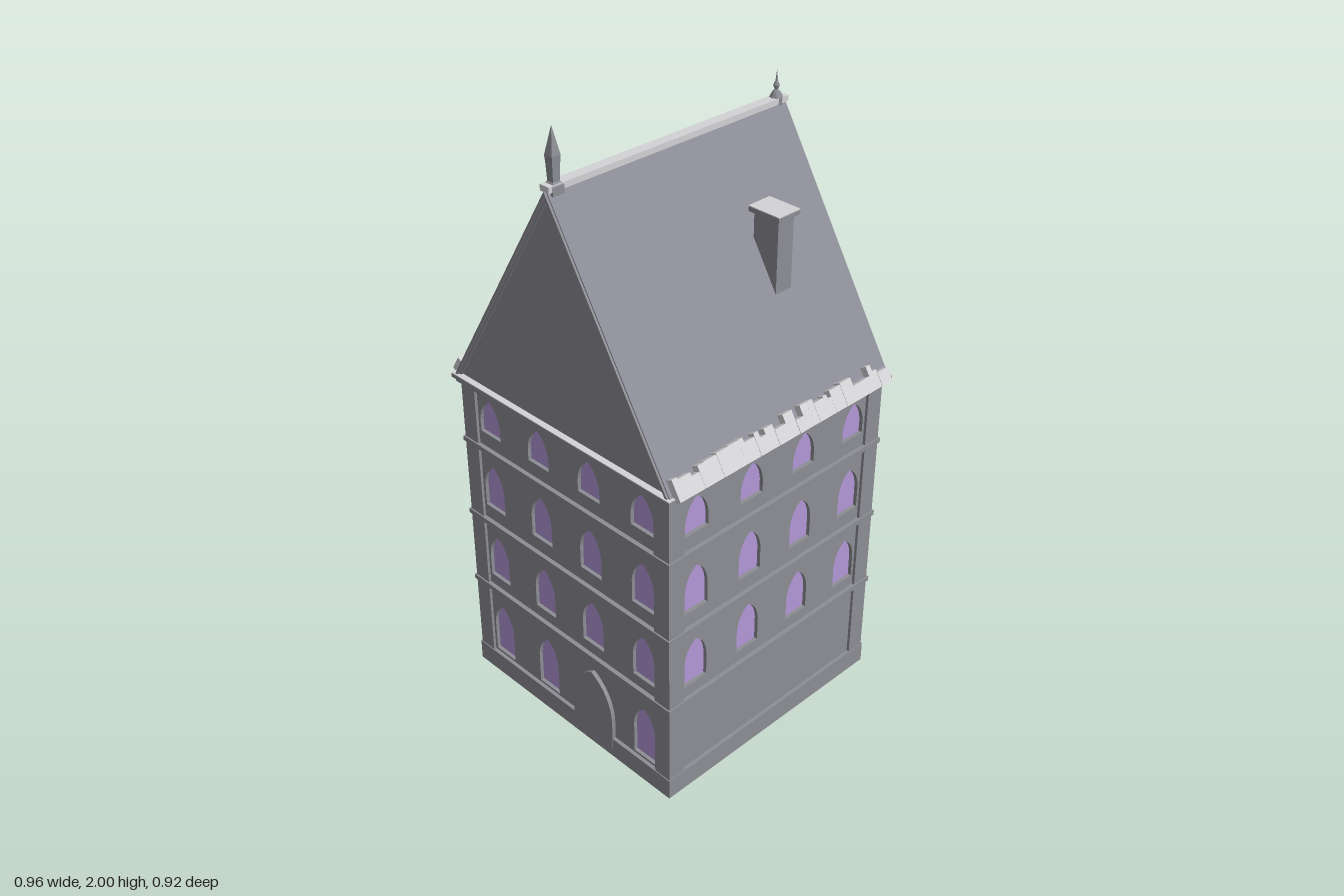
import * as THREE from 'three';

const mat = (name, color) => Object.assign(new THREE.MeshStandardMaterial({ color }), { name });

export function createModel() {
  const stone = mat('stone', 0x8d8e94);
  const slate = mat('slate', 0x8c8c98);
  const pale = mat('pale', 0xd3d3d6);
  const glass = mat('glass', 0xb297d8);
  const house = new THREE.Group();
  house.name = 'house';

  const add = (name, geometry, material, parent = house) => {
    const mesh = new THREE.Mesh(geometry, material);
    mesh.name = name;
    parent.add(mesh);
    return mesh;
  };
  const box = (name, w, h, d, x, y, z, material, parent) => {
    const mesh = add(name, new THREE.BoxGeometry(w, h, d), material, parent);
    mesh.position.set(x, y, z);
    return mesh;
  };

  // Pointed arch outline, used for windows, their openings and the door
  const arch = (cx, bottom, top, w, rise, Type = THREE.Shape) => {
    const s = new Type();
    const h = w / 2, spring = top - rise;
    s.moveTo(cx - h, bottom);
    s.lineTo(cx + h, bottom);
    s.lineTo(cx + h, spring);
    s.quadraticCurveTo(cx + h * 0.9, top - rise * 0.3, cx, top);
    s.quadraticCurveTo(cx - h * 0.9, top - rise * 0.3, cx - h, spring);
    s.closePath();
    return s;
  };

  // Plinth, corner piers, floor bands and cornice
  box('plinth', 0.884, 0.07, 0.884, 0, 0.035, 0, stone);
  for (const x of [-1, 1]) for (const z of [-1, 1])
    box('cornerPier', 0.06, 1.01, 0.06, x * 0.409, 0.575, z * 0.409, stone);
  box('corniceLower', 0.9, 0.015, 0.9, 0, 1.08, 0, stone);
  box('corniceUpper', 0.916, 0.012, 0.916, 0, 1.092, 0, stone);
  box('corniceTop', 0.916, 0.003, 0.916, 0, 1.0995, 0, pale);

  // Four walls with recessed windows; only the front has a ground-floor row
  const columns = [-0.325, -0.108, 0.108, 0.325];
  const rows = [[0.385, 0.545], [0.655, 0.81], [0.925, 1.045]];
  ['front', 'left', 'back', 'right'].forEach((side, i) => {
    const wall = new THREE.Group();
    wall.name = side + 'Wall';
    wall.rotation.y = i * Math.PI / 2;
    house.add(wall);

    const openings = rows.flatMap(([b, t]) => columns.map(x => [x, b, t]));
    if (i === 0) for (const x of [-0.325, -0.108, 0.325]) openings.push([x, 0.078, 0.27]);

    const panel = new THREE.Shape();
    panel.moveTo(-0.4, 0.05);
    panel.lineTo(0.4, 0.05);
    panel.lineTo(0.4, 1.08);
    panel.lineTo(-0.4, 1.08);
    panel.closePath();
    panel.holes = openings.map(([x, b, t]) => arch(x, b, t, 0.09, 0.08, THREE.Path));
    const geo = new THREE.ExtrudeGeometry(panel, { depth: 0.015, bevelEnabled: false, curveSegments: 6 });
    add('wallPanel', geo.translate(0, 0, 0.415), stone, wall);

    for (const [x, b, t] of openings) {
      const pane = new THREE.ShapeGeometry(arch(x, b, t, 0.09, 0.08), 6);
      add('window', pane.translate(0, 0, 0.418), glass, wall);
    }
    for (const y of [0.34, 0.6, 0.87])
      box('floorBand', 0.888, 0.016, 0.03, 0, y, 0.429, stone, wall);
  });

  // Front door
  const door = new THREE.ExtrudeGeometry(arch(0.108, 0.002, 0.285, 0.175, 0.14),
    { depth: 0.015, bevelEnabled: false, curveSegments: 8 });
  add('door', door.translate(0, 0, 0.428), stone);

  // Gable walls under the roof
  const gable = new THREE.Shape([[-0.43, 1.1], [0.43, 1.1], [0, 1.805]].map(p => new THREE.Vector2(...p)));
  add('gables', new THREE.ExtrudeGeometry(gable, { depth: 0.876, bevelEnabled: false })
    .translate(0, 0, -0.438), stone);

  // Roof slopes, with a slimmer raised moulding along each gable edge
  const chevron = (out, inn, depth) => {
    const pts = [[-out, 1.1], [0, 1.1 + out * 1.635], [out, 1.1],
      [inn, 1.1], [0, 1.1 + inn * 1.635], [-inn, 1.1]];
    const s = new THREE.Shape(pts.map(p => new THREE.Vector2(...p)));
    return new THREE.ExtrudeGeometry(s, { depth, bevelEnabled: false }).translate(0, 0, -depth / 2);
  };
  add('roof', chevron(0.45, 0.428, 0.892), slate);
  add('gableMoulding', chevron(0.446, 0.437, 0.906), stone);
  box('ridge', 0.034, 0.018, 0.9, 0, 1.836, 0, pale);

  // Ragged pale strip along both eaves
  const slope = Math.atan2(0.04, 0.065);
  let seed = 7;
  const random = () => (seed = (seed * 16807) % 2147483647) / 2147483647;
  for (const side of [-1, 1]) {
    const eave = new THREE.Group();
    eave.name = side > 0 ? 'leftEave' : 'rightEave';
    eave.position.set(side * 0.468, 1.093, 0);
    eave.rotation.z = side * slope;
    house.add(eave);
    let z = -0.435;
    while (z < 0.43) {
      const w = Math.min(0.015 + random() * 0.035, 0.435 - z);
      const h = 0.04 + random() * 0.035;
      box('eavePiece', 0.022 + random() * 0.004, h, w, 0, h / 2, z + w / 2, pale, eave);
      z += w;
    }
  }

  // Chimney
  box('chimney', 0.09, 0.27, 0.062, 0.217, 1.505, -0.182, stone);
  box('chimneyCap', 0.114, 0.014, 0.086, 0.217, 1.641, -0.182, stone);
  box('chimneyCapTop', 0.114, 0.003, 0.086, 0.217, 1.6495, -0.182, pale);

  // Ridge finials: a tall four-sided spire in front, a small round one behind
  const finial = (name, profile, sides, z) => {
    const pts = profile.map(p => new THREE.Vector2(...p));
    const geo = new THREE.LatheGeometry(pts, sides, Math.PI / 4).toNonIndexed();
    geo.computeVertexNormals();
    add(name, geo, stone).position.z = z;
  };
  finial('frontFinial', [[0, 1.815], [0.027, 1.815], [0.027, 1.84], [0.016, 1.85], [0.019, 1.9],
    [0.021, 1.92], [0, 2]], 4, 0.418);
  finial('backFinial', [[0, 1.82], [0.02, 1.825], [0.02, 1.845], [0.012, 1.86], [0.005, 1.868],
    [0.01, 1.88], [0.004, 1.892], [0, 1.925]], 8, -0.417);

  return house;
}
